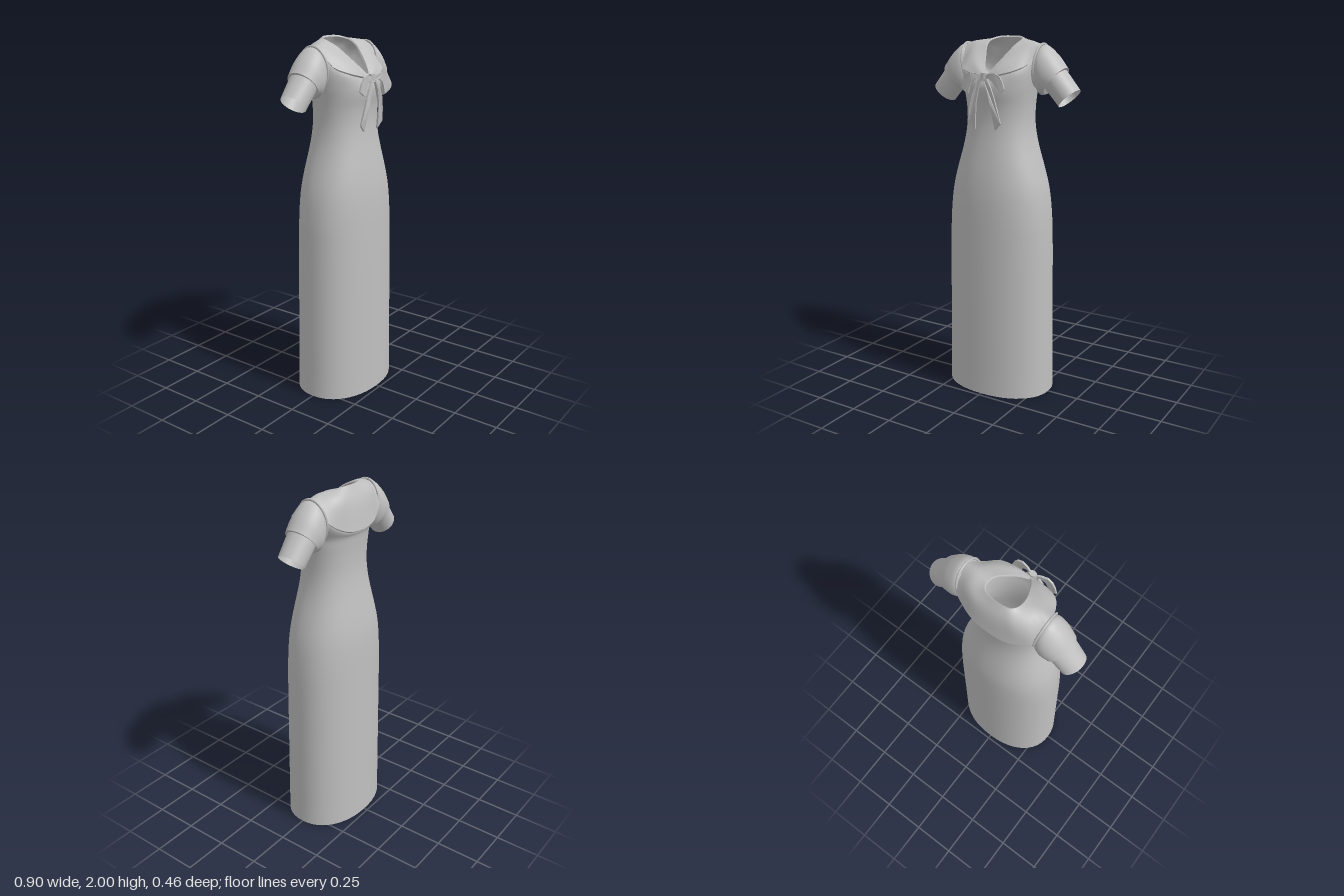
import * as THREE from 'three';

const COLS = 48;
const fabric = new THREE.MeshStandardMaterial({ color: 0xbfbfbf, side: THREE.DoubleSide });
fabric.name = 'greyFabric';
const V = (x, y, z) => new THREE.Vector3(x, y, z);

function part(name, geometry) {
  const mesh = new THREE.Mesh(geometry, fabric);
  mesh.name = name;
  return mesh;
}

// Horizontal oval with separate front and back depths
function oval(y, hx, front, back) {
  const e = 2 / 2.2;
  return Array.from({ length: COLS }, (_, i) => {
    const a = (i / COLS) * Math.PI * 2, s = Math.sin(a), c = Math.cos(a);
    return V(Math.sign(s) * hx * Math.abs(s) ** e, y, (c > 0 ? front : -back) * Math.abs(c) ** e);
  });
}

// Closed loop from half an outline, front centre to back centre
function halfLoop(points) {
  const right = points.map((p) => V(...p));
  const left = right.slice(1, -1).reverse().map((p) => V(-p.x, p.y, p.z));
  const curve = new THREE.CatmullRomCurve3([...right, ...left], true);
  return Array.from({ length: COLS }, (_, i) => curve.getPoint(i / COLS));
}

// Skin over a stack of loops, smoothed lengthwise
function loft(loops, sub = 1) {
  const rows = (loops.length - 1) * sub, pos = [], index = [];
  const columns = loops[0].map((_, i) => new THREE.CatmullRomCurve3(loops.map((l) => l[i])));
  for (let j = 0; j <= rows; j++) {
    for (const curve of columns) pos.push(...curve.getPoint(j / rows).toArray());
  }
  for (let j = 0; j < rows; j++) {
    for (let i = 0; i < COLS; i++) {
      const k = (i + 1) % COLS, a = j * COLS + i, b = j * COLS + k;
      index.push(a, b, b + COLS, a, b + COLS, a + COLS);
    }
  }
  const g = new THREE.BufferGeometry();
  g.setAttribute('position', new THREE.Float32BufferAttribute(pos, 3));
  g.setIndex(index);
  g.computeVertexNormals();
  return g;
}

// Tilted sleeve ring through a top and a bottom point
function sleeveRing(s, [tx, ty], [bx, by], hz) {
  return Array.from({ length: COLS }, (_, i) => {
    const a = (i / COLS) * Math.PI * 2, c = Math.cos(a);
    return V(s * ((tx + bx) / 2 + (c * (tx - bx)) / 2),
      (ty + by) / 2 + (c * (ty - by)) / 2, -0.035 + s * hz * Math.sin(a));
  });
}

// Thin ribbon piece cut from an outline and bent by a depth rule
function ribbon(s, outline, depthAt) {
  const shape = new THREE.Shape(outline.map(([x, y]) => new THREE.Vector2(s * x, y)));
  const g = new THREE.ExtrudeGeometry(shape, { depth: 0.009, bevelEnabled: false });
  const p = g.attributes.position;
  for (let i = 0; i < p.count; i++) {
    p.setZ(i, p.getZ(i) + depthAt(Math.abs(p.getX(i)), p.getY(i)));
  }
  g.computeVertexNormals();
  return g;
}

export function createModel() {
  const dress = new THREE.Group();
  dress.name = 'dress';

  // Collar outline, shoulder line and neckline
  const edge = halfLoop([[0, 1.795, 0.168], [0.09, 1.81, 0.16], [0.16, 1.83, 0.135],
    [0.205, 1.86, 0.075], [0.237, 1.96, -0.03], [0.235, 1.87, -0.12],
    [0.17, 1.815, -0.155], [0.09, 1.785, -0.178], [0, 1.778, -0.183]]);
  const mid = halfLoop([[0, 1.802, 0.162], [0.07, 1.845, 0.14], [0.125, 1.895, 0.085],
    [0.165, 1.935, 0.03], [0.17, 1.975, -0.03], [0.165, 1.96, -0.1],
    [0.12, 1.94, -0.14], [0.06, 1.925, -0.15], [0, 1.92, -0.153]]);
  const neck = halfLoop([[0, 1.81, 0.152], [0.035, 1.855, 0.115], [0.065, 1.91, 0.06],
    [0.088, 1.955, 0.01], [0.097, 1.98, -0.04], [0.09, 1.99, -0.075],
    [0.07, 1.997, -0.1], [0.035, 2, -0.11], [0, 2, -0.113]]);
  const inset = (loop) => loop.map((p) => V(p.x * 0.95, p.y - 0.008, p.z * 0.94));

  // Gown: skirt, waist and bodice
  const gown = [
    [0, 0.315, 0.228, 0.228], [0.5, 0.308, 0.224, 0.222], [0.95, 0.301, 0.219, 0.216],
    [1.1, 0.29, 0.215, 0.213], [1.2, 0.274, 0.208, 0.207], [1.3, 0.247, 0.195, 0.193],
    [1.4, 0.217, 0.178, 0.175], [1.48, 0.199, 0.165, 0.162], [1.56, 0.191, 0.158, 0.154],
    [1.64, 0.194, 0.162, 0.154], [1.7, 0.201, 0.174, 0.158], [1.75, 0.208, 0.177, 0.164],
  ].map((r) => oval(...r));
  dress.add(part('gown', loft([...gown, inset(edge), inset(mid)], 3)));
  dress.add(part('hemFold', loft([oval(0.02, 0.305, 0.218, 0.218), oval(0, 0.305, 0.218, 0.218), gown[0]])));

  // Wide collar with a turned edge
  dress.add(part('collar', loft([edge, mid, neck], 5)));
  dress.add(part('collarEdge', loft([inset(edge), edge])));
  dress.add(part('necklineFold', loft([neck, inset(neck)])));

  for (const s of [1, -1]) {
    const side = s > 0 ? 'left' : 'right';
    const ring = (...r) => sleeveRing(s, ...r);

    // Puffed sleeve with a straight cuff
    const end = ring([0.375, 1.84], [0.258, 1.7], 0.09);
    const cuffTop = ring([0.366, 1.83], [0.268, 1.722], 0.08);
    dress.add(part(side + 'Sleeve', loft([
      ring([0.228, 1.945], [0.2, 1.75], 0.075), ring([0.25, 1.958], [0.22, 1.71], 0.092),
      ring([0.315, 1.912], [0.238, 1.693], 0.098), end], 5)));
    dress.add(part(side + 'SleeveHem', loft([end, cuffTop])));
    dress.add(part(side + 'Cuff', loft([cuffTop, ring([0.45, 1.73], [0.345, 1.635], 0.072)])));

    // Armhole piping
    const seam = ring([0.238, 1.962], [0.208, 1.735], 0.088).filter((_, i) => i % 3 === 0);
    dress.add(part(side + 'ArmholePiping', new THREE.TubeGeometry(
      new THREE.CatmullRomCurve3(seam, true), 48, 0.007, 6, true)));

    // Bow loop and tail
    dress.add(part(side + 'BowLoop', ribbon(s, [[0.012, 1.782], [0.04, 1.785], [0.066, 1.768],
      [0.078, 1.74], [0.086, 1.706], [0.11, 1.715], [0.134, 1.734], [0.122, 1.775],
      [0.105, 1.802], [0.075, 1.816], [0.04, 1.812], [0.012, 1.802]],
    (x) => 0.172 + 0.02 * Math.sin(Math.min(x / 0.13, 1) * Math.PI * 0.75))));
    dress.add(part(side + 'BowTail', ribbon(s, [[0.005, 1.785], [0.026, 1.73], [0.042, 1.66],
      [0.052, 1.59], [0.062, 1.515], [0.1, 1.552], [0.087, 1.62], [0.07, 1.69],
      [0.05, 1.74], [0.025, 1.785]],
    (x, y) => 0.163 + 0.024 * Math.sin(Math.min(Math.max((y - 1.52) / 0.3, 0), 1) * Math.PI * 0.8))));
  }

  // Bow knot
  const knot = part('bowKnot', new THREE.CylinderGeometry(0.017, 0.017, 0.042, 16));
  knot.scale.set(1.2, 1, 0.9);
  knot.position.set(0, 1.793, 0.177);
  dress.add(knot);

  return dress;
}
